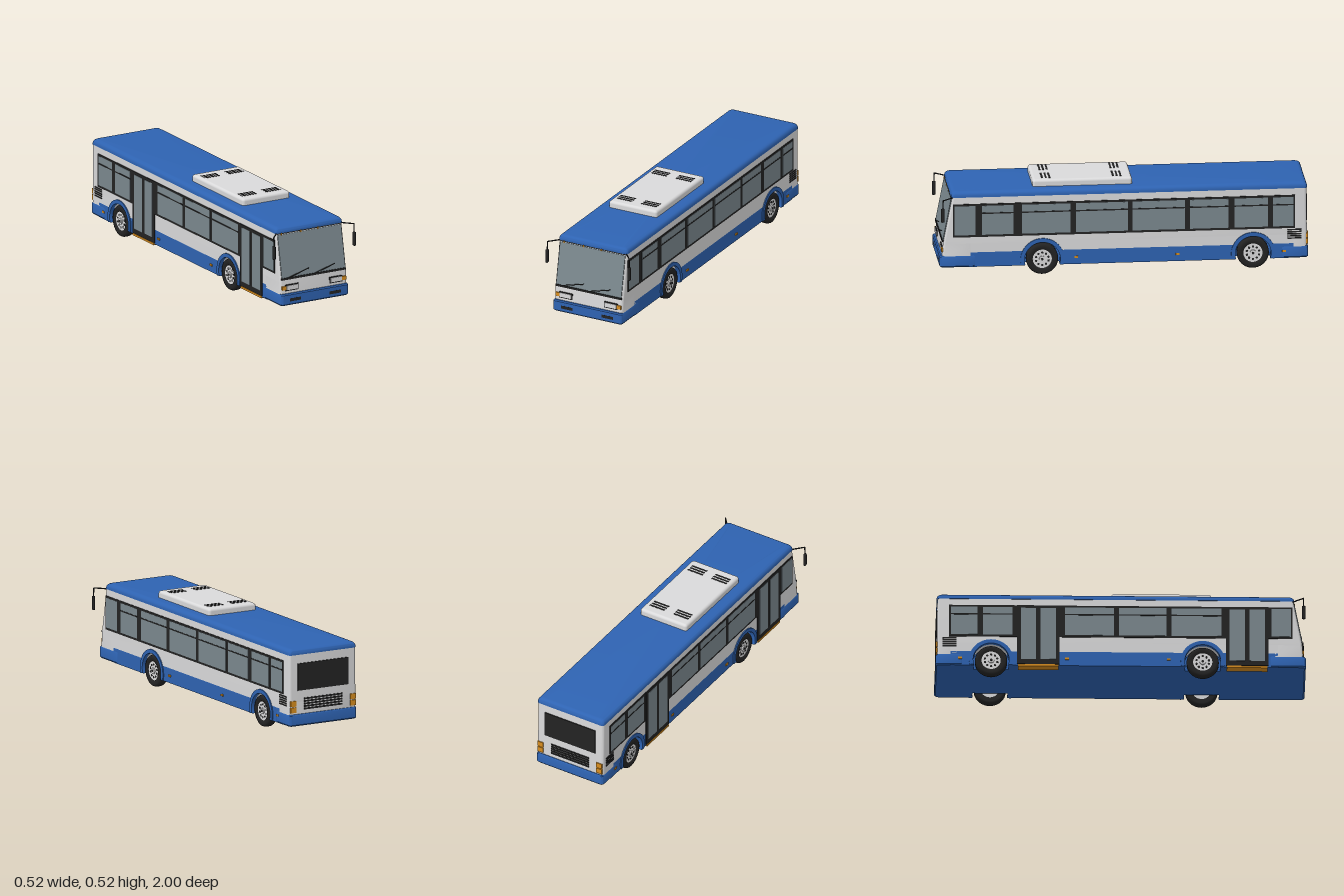
import * as THREE from 'three';
import { toCreasedNormals } from 'three/addons/utils/BufferGeometryUtils.js';
import { RoundedBoxGeometry } from 'three/addons/geometries/RoundedBoxGeometry.js';

const material = (name, color) => Object.assign(new THREE.MeshStandardMaterial({ color }), { name });
const blue = material('blue paint', 0x2e63b2);
const white = material('white paint', 0xdadadb);
const black = material('black trim', 0x232323);
const glass = material('glass', 0x7b888e);
const orange = material('orange lens', 0xd98e1f);

const HALF = 0.21, FLOOR = 0.055, SKIRT = 0.137, ARCH_TOP = 0.187;
const WHEEL_Z = [0.443, -0.7], WHEEL_Y = 0.087, ARCH_R = ARCH_TOP - WHEEL_Y;

// Stacked rounded rectangles; each layer is [y, zFront, zBack, halfWidth, cornerRadius]
function loft(layers) {
  const steps = 5, n = 4 * (steps + 1), pos = [];
  const rings = layers.map(([y, zf, zb, hw, r]) => {
    const ring = [];
    [[1, zf], [-1, zf], [-1, zb], [1, zb]].forEach(([s, z], c) => {
      for (let k = 0; k <= steps; k++) {
        const a = (c + k / steps) * Math.PI / 2;
        ring.push([s * (hw - r) + r * Math.cos(a), y, z + (c < 2 ? -r : r) + r * Math.sin(a)]);
      }
    });
    return ring;
  });
  const last = layers.length - 1;
  const middle = i => [0, layers[i][0], (layers[i][1] + layers[i][2]) / 2];
  for (let i = 0; i < n; i++) {
    const j = (i + 1) % n;
    for (let k = 0; k < last; k++) {
      const a = rings[k][i], b = rings[k][j], c = rings[k + 1][i], d = rings[k + 1][j];
      pos.push(...a, ...c, ...b, ...b, ...c, ...d);
    }
    pos.push(...middle(0), ...rings[0][i], ...rings[0][j]);
    pos.push(...middle(last), ...rings[last][j], ...rings[last][i]);
  }
  const g = new THREE.BufferGeometry();
  g.setAttribute('position', new THREE.Float32BufferAttribute(pos, 3));
  return toCreasedNormals(g, 0.6);
}

// Side outline (drawn with -z to the right) extruded across x from x0 to x1
function extrudeX(shape, x0, x1) {
  const g = new THREE.ExtrudeGeometry(shape, { depth: x1 - x0, bevelEnabled: false, curveSegments: 28 });
  return g.rotateY(Math.PI / 2).translate(x0, 0, 0);
}

export function createModel() {
  const bus = new THREE.Group();
  bus.name = 'bus';
  const add = (name, geometry, mat, parent = bus) => {
    const m = new THREE.Mesh(geometry, mat);
    m.name = name;
    parent.add(m);
    return m;
  };
  // Box given by its limits on each axis
  const box = (name, mat, [x0, x1], [y0, y1], [z0, z1]) =>
    add(name, new THREE.BoxGeometry(x1 - x0, y1 - y0, z1 - z0)
      .translate((x0 + x1) / 2, (y0 + y1) / 2, (z0 + z1) / 2), mat);
  // Thin plate on a side wall, s = 1 for left and -1 for right
  const sidePlate = (name, mat, s, y, z, out) =>
    box(name, mat, s > 0 ? [HALF - 0.002, HALF + out] : [-HALF - out, -HALF + 0.002], y, z);
  const bar = (name, a, b, r) => {
    const p = new THREE.Vector3(...a), q = new THREE.Vector3(...b);
    return add(name, new THREE.TubeGeometry(new THREE.LineCurve3(p, q), 1, r, 8), black);
  };

  // Lower walls, split at the wheel arches
  const half = y => Math.sqrt(Math.max(0, ARCH_R ** 2 - (y - WHEEL_Y) ** 2));
  const wall = (name, mat, y0, y1) => {
    const ends = [[-0.85, 0], [-WHEEL_Z[0], 1], [-WHEEL_Z[1], 1], [0.92, 0]];
    for (let i = 0; i < 3; i++) {
      const left = [], right = [];
      for (let k = 0; k <= 10; k++) {
        const y = y0 + (y1 - y0) * k / 10, h = half(y);
        left.push(new THREE.Vector2(ends[i][0] + ends[i][1] * h, y));
        right.push(new THREE.Vector2(ends[i + 1][0] - ends[i + 1][1] * h, y));
      }
      add(name, extrudeX(new THREE.Shape([...right, ...left.reverse()]), -HALF, HALF), mat);
    }
  };
  wall('skirt', blue, FLOOR, SKIRT);
  wall('lowerWall', white, SKIRT, ARCH_TOP);
  box('underfloor', blue, [-0.152, 0.152], [FLOOR, ARCH_TOP], [-0.9, 0.85]);

  // Ends, upper body and roof
  add('frontBumper', loft([[FLOOR, 0.992, 0.8, 0.207, 0.015], [0.062, 1, 0.8, 0.212, 0.015],
    [0.114, 1, 0.8, 0.212, 0.015], [0.12, 0.994, 0.8, 0.209, 0.015]]), blue);
  add('rearBumper', loft([[FLOOR, -0.85, -0.994, 0.207, 0.015], [0.062, -0.85, -1, 0.212, 0.015],
    [0.114, -0.85, -1, 0.212, 0.015], [0.12, -0.85, -0.996, 0.209, 0.015]]), blue);
  add('frontPanel', loft([[0.118, 0.985, 0.82, HALF, 0.014], [ARCH_TOP, 0.981, 0.82, HALF, 0.014]]), white);
  add('rearPanel', loft([[0.118, -0.87, -0.993, HALF, 0.016], [ARCH_TOP, -0.87, -0.993, HALF, 0.016]]), white);
  add('upperBody', loft([[ARCH_TOP, 0.981, -0.993, HALF, 0.014], [0.2, 0.98, -0.993, HALF, 0.014],
    [0.45, 0.932, -0.99, HALF, 0.014]]), white);
  const roof = [[0.448, 0.937, -0.994, 0.212, 0.016]];
  for (let k = 0; k <= 6; k++) {
    const a = k / 6 * Math.PI / 2, inset = 0.025 * (1 - Math.cos(a));
    roof.push([0.455 + 0.025 * Math.sin(a), 0.937 - inset, -0.994 + inset, 0.212 - inset, 0.018]);
  }
  add('roof', loft(roof), blue);

  // Roof air conditioner with vent slots
  add('roofUnit', new RoundedBoxGeometry(0.297, 0.06, 0.54, 4, 0.015).translate(0, 0.487, 0.22), white);
  for (const x of [-0.0775, 0.0725]) for (const z0 of [0.01, 0.395]) for (let k = 0; k < 3; k++)
    box('roofVent', black, [x - 0.047, x + 0.047], [0.515, 0.5185], [z0 + k * 0.02 - 0.005, z0 + k * 0.02 + 0.005]);

  // Side windows; each entry is [zBack, zFront]
  const leftWindows = [[0.807, 0.92], [0.6, 0.77], [0.29, 0.555], [-0.02, 0.26], [-0.33, -0.045],
    [-0.565, -0.357], [-0.78, -0.598], [-0.918, -0.807]];
  const rightWindows = [[0.815, 0.92], [0.275, 0.545], [-0.01, 0.248], [-0.3, -0.037],
    [-0.745, -0.585], [-0.918, -0.775]];
  for (const s of [1, -1]) {
    sidePlate('windowBand', black, s, [0.224, 0.411], [-0.927, 0.927], 0.003);
    (s > 0 ? leftWindows : rightWindows).forEach((z, i) => {
      sidePlate('sideWindow', glass, s, [0.236, 0.4], z, 0.004);
      if (i) sidePlate('windowRail', black, s, [0.354, 0.361], z, 0.0055);
    });
    for (let k = 0; k < 5; k++)
      sidePlate('sideLouver', black, s, [0.163 + k * 0.012, 0.17 + k * 0.012], [-0.962, -0.888], 0.003);
    for (const z of [0.26, -0.29, -0.868])
      sidePlate('sideMarker', orange, s, [0.09, 0.101], [z - 0.01, z + 0.01], 0.005);
  }

  // Double doors on the right with glazed leaves and a step
  for (const [z0, z1] of [[-0.56, -0.33], [0.568, 0.798]]) {
    sidePlate('doorFrame', black, -1, [0.062, 0.411], [z0, z1], 0.005);
    const mid = (z0 + z1) / 2;
    for (const z of [[z0 + 0.02, mid - 0.012], [mid + 0.012, z1 - 0.02]])
      sidePlate('doorGlass', glass, -1, [0.09, 0.395], z, 0.0065);
    box('doorStep', orange, [-0.216, -0.165], [0.049, 0.06], [z0 + 0.005, z1 - 0.005]);
  }

  // Wheels and arch trims
  const tyreProfile = [[0.05, -0.02], [0.074, -0.025], [0.083, -0.021], [0.087, -0.012], [0.087, 0.012],
    [0.083, 0.021], [0.074, 0.025], [0.054, 0.024], [0.05, 0.012]].map(p => new THREE.Vector2(...p));
  const disc = (r, depth, sides) => new THREE.CylinderGeometry(r, r, depth, sides);
  for (const z of WHEEL_Z) {
    const arch = new THREE.Shape();
    arch.absarc(-z, WHEEL_Y, 0.119, -0.27, Math.PI + 0.27, false);
    arch.absarc(-z, WHEEL_Y, 0.097, Math.PI + 0.3, -0.3, true);
    for (const s of [1, -1]) {
      add('wheelArch', extrudeX(arch, s > 0 ? 0.195 : -0.216, s > 0 ? 0.216 : -0.195), blue);
      const wheel = new THREE.Group();
      wheel.name = 'wheel';
      wheel.position.set(s * 0.184, WHEEL_Y, z);
      wheel.rotation.z = -s * Math.PI / 2;
      bus.add(wheel);
      add('tyre', new THREE.LatheGeometry(tyreProfile, 40), black, wheel);
      add('rim', disc(0.052, 0.036, 32), white, wheel);
      add('hub', disc(0.017, 0.008, 20).translate(0, 0.021, 0), white, wheel);
      add('hubCap', disc(0.007, 0.003, 12).translate(0, 0.0255, 0), black, wheel);
      for (let k = 0; k < 10; k++) {
        const a = k * Math.PI / 5;
        add('rimHole', disc(0.0065, 0.003, 10).translate(0.035 * Math.cos(a), 0.0175, 0.035 * Math.sin(a)), black, wheel);
      }
    }
  }

  // Windscreen, wipers and front marker lamps
  const screen = add('windscreen', new THREE.BoxGeometry(0.4, 0.24, 0.006), glass);
  screen.position.set(0, 0.322, 0.9575);
  screen.rotation.x = -Math.atan2(0.048, 0.25);
  box('windscreenSill', black, [-0.202, 0.202], [0.197, 0.208], [0.972, 0.987]);
  box('windscreenHeader', black, [-0.2, 0.2], [0.4435, 0.4485], [0.925, 0.937]);
  for (const x of [-0.165, 0]) bar('wiper', [x, 0.206, 0.986], [x + 0.135, 0.24, 0.98], 0.0028);
  for (const x of [-0.176, -0.056, 0.054])
    box('roofMarker', orange, [x - 0.003, x + 0.003], [0.438, 0.449], [0.93, 0.941]);

  for (const s of [1, -1]) {
    const span = (a, b) => s > 0 ? [a, b] : [-b, -a];
    // Headlights, indicators and bumper slots
    box('headlightFrame', black, span(0.098, 0.179), [0.134, 0.169], [0.978, 0.988]);
    box('headlight', white, span(0.103, 0.174), [0.14, 0.164], [0.982, 0.991]);
    box('indicator', orange, span(0.175, 0.201), [0.141, 0.162], [0.98, 0.99]);
    box('bumperSlot', black, span(0.089, 0.16), [0.077, 0.094], [0.995, 1.0005]);
    // Mirrors on bent arms
    bar('mirrorArm', [s * 0.2, 0.447, 0.925], [s * 0.253, 0.447, 0.985], 0.0035);
    bar('mirrorArm', [s * 0.253, 0.45, 0.985], [s * 0.253, 0.39, 0.987], 0.003);
    add('mirror', new RoundedBoxGeometry(0.015, 0.078, 0.02, 3, 0.006).translate(s * 0.253, 0.363, 0.988), black);
    // Tail lights
    for (const y of [0.13, 0.165]) box('tailLight', orange, span(0.17, 0.205), [y, y + 0.03], [-0.999, -0.985]);
  }

  // Rear window and engine grille
  box('rearWindow', black, [-0.16, 0.16], [0.25, 0.4], [-0.996, -0.988]);
  for (let k = 0; k < 5; k++)
    box('rearLouver', black, [-0.12, 0.12], [0.142 + k * 0.014, 0.151 + k * 0.014], [-0.997, -0.988]);

  return bus;
}
